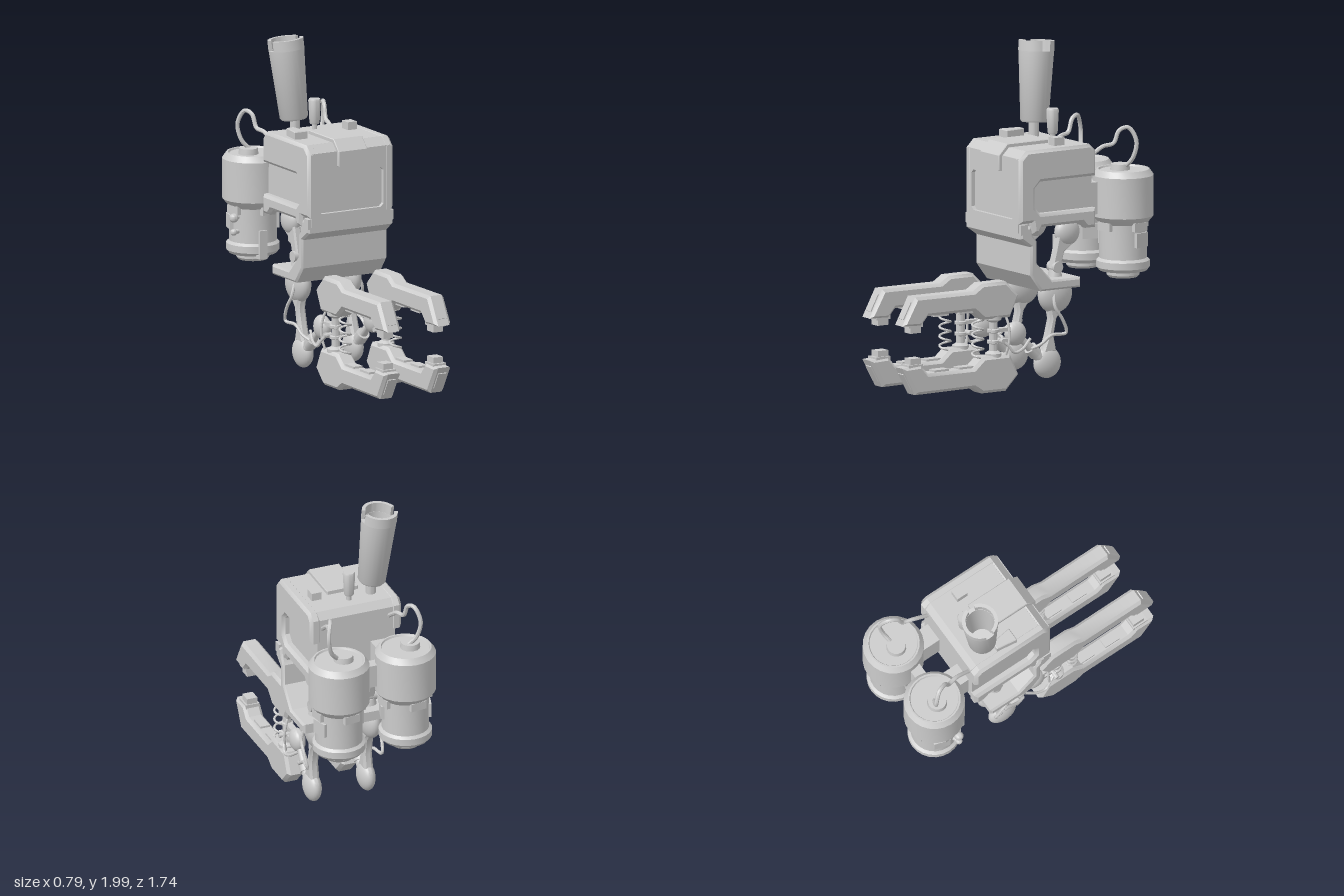
import * as THREE from 'three';
import { toCreasedNormals } from 'three/addons/utils/BufferGeometryUtils.js';

const material = new THREE.MeshStandardMaterial({ color: 0xcccccc });
const V = (x, y, z) => new THREE.Vector3(x, y, z);

function add(parent, name, geometry, x = 0, y = 0, z = 0) {
  const mesh = new THREE.Mesh(toCreasedNormals(geometry, 0.6), material);
  mesh.name = name;
  mesh.position.set(x, y, z);
  parent.add(mesh);
  return mesh;
}
const box = (w, h, d) => new THREE.BoxGeometry(w, h, d);
const cyl = (rTop, rBottom, h, n = 20) => new THREE.CylinderGeometry(rTop, rBottom, h, n);
const lathe = (pts, n = 24) => new THREE.LatheGeometry(pts.map(p => new THREE.Vector2(...p)), n);
const poly = pts => new THREE.Shape(pts.map(p => new THREE.Vector2(...p)));

// Side profile given as [z, y], extruded across x with chamfered edges
function slab(profile, width, bevel = 0.01) {
  const g = new THREE.ExtrudeGeometry(poly(profile), {
    depth: width - 2 * bevel, bevelEnabled: bevel > 0, bevelSize: bevel,
    bevelThickness: bevel, bevelOffset: -bevel, bevelSegments: 1,
  });
  return g.translate(0, 0, -(width - 2 * bevel) / 2).rotateY(-Math.PI / 2);
}
// Flattened ball used for the joints
const lens = (r, half, cut = 0) =>
  new THREE.SphereGeometry(r, 28, 18, 0, Math.PI * 2, cut, Math.PI - cut).scale(half / r, 1, 1);
function rod(parent, name, a, b, r1, r2 = r1) {
  const g = cyl(r2, r1, a.distanceTo(b), 14);
  const mesh = add(parent, name, g);
  mesh.position.copy(a).lerp(b, 0.5);
  mesh.quaternion.setFromUnitVectors(V(0, 1, 0), b.clone().sub(a).normalize());
}
function hose(parent, name, pts, r) {
  const curve = new THREE.CatmullRomCurve3(pts.map(p => V(...p)));
  add(parent, name, new THREE.TubeGeometry(curve, pts.length * 7, r, 8));
}
function group(parent, name, x = 0, y = 0, z = 0) {
  const g = new THREE.Group();
  g.name = name;
  g.position.set(x, y, z);
  parent.add(g);
  return g;
}

function buildBody(root) {
  const body = group(root, 'body');
  add(body, 'bodyCore', slab([[0.065, 0.96], [0.065, 1.38], [0.03, 1.428], [-0.41, 1.428],
    [-0.445, 1.385], [-0.445, 0.945], [-0.38, 0.945], [-0.35, 0.98], [-0.06, 0.98]], 0.49, 0));
  // Side walls with a recess open to the rear
  for (const s of [-1, 1]) {
    add(body, 'sideWall', slab([[0.09, 1.0], [0.09, 1.38], [0.04, 1.43], [-0.41, 1.43], [-0.45, 1.39],
      [-0.45, 1.24], [-0.06, 1.24], [-0.02, 1.2], [-0.02, 1.09], [-0.06, 1.05], [-0.45, 1.05],
      [-0.45, 0.935], [-0.38, 0.935], [-0.35, 0.97], [-0.07, 0.97], [-0.05, 0.935], [-0.01, 0.935], [0.0, 1.0]],
      0.07, 0.018), s * 0.255);
    add(body, 'hingeTab', box(0.06, 0.06, 0.05), s * 0.26, 0.965, 0.06);
  }
  // Front frame around a sunken window
  const frame = poly([[-0.265, 0.945], [0.265, 0.945], [0.265, 1.385], [-0.265, 1.385]]);
  frame.holes.push(new THREE.Path([[-0.2, 1.02], [0.2, 1.02], [0.22, 1.04], [0.22, 1.24],
    [0.2, 1.26], [-0.2, 1.26], [-0.22, 1.24], [-0.22, 1.04]].map(p => new THREE.Vector2(...p))));
  add(body, 'frontFrame', new THREE.ExtrudeGeometry(frame, { depth: 0.05, bevelEnabled: false }), 0, 0, 0.039);
  add(body, 'browSlope', slab([[0.089, 1.38], [0.04, 1.429], [0, 1.42], [0, 1.38]], 0.5, 0));
  add(body, 'topFlap', slab([[0.112, 1.295], [0.112, 1.385], [0.05, 1.45], [-0.24, 1.45],
    [-0.24, 1.42], [0.03, 1.42], [0.085, 1.37], [0.085, 1.295]], 0.195, 0.004));
  // Lower jaw
  add(body, 'jaw', slab([[0.085, 0.98], [0.085, 0.91], [0.015, 0.86], [0.015, 0.69], [-0.06, 0.59],
    [-0.34, 0.59], [-0.34, 0.65], [-0.14, 0.65], [-0.03, 0.76], [-0.03, 0.89], [0.0, 0.93], [0.01, 0.98]], 0.58, 0.012));
  // Arms between body and jaw
  for (const s of [-1, 1]) {
    const arm = group(body, 'jawArm', s * 0.17);
    add(arm, 'upperJoint', lens(0.083, 0.05), 0, 0.905, -0.32);
    add(arm, 'armLink', slab([[-0.36, 0.84], [-0.29, 0.79], [-0.265, 0.7], [-0.2, 0.7],
      [-0.225, 0.8], [-0.25, 0.9]], 0.05, 0.01));
    add(arm, 'lowerJoint', cyl(0.033, 0.033, 0.08).rotateZ(Math.PI / 2), 0, 0.705, -0.235);
    add(arm, 'armFoot', cyl(0.035, 0.045, 0.05), 0, 0.665, -0.235);
  }
}

function buildRoof(root) {
  const roof = group(root, 'roofFittings');
  // Leaning hollow chimney with two notches in its rim
  const chimney = group(roof, 'chimney', -0.153, 1.51, -0.31);
  chimney.rotation.set(-0.085, 0, 0.075);
  add(chimney, 'chimneyTube', lathe([[0, 0], [0.075, 0], [0.083, 0.012], [0.105, 0.42],
    [0.084, 0.42], [0.066, 0.02], [0, 0.02]]));
  for (const s of [0, 1]) {
    const a0 = 0.26 + s * Math.PI, a1 = Math.PI - 0.26 + s * Math.PI;
    const rim = new THREE.Shape();
    rim.absarc(0, 0, 0.106, a0, a1, false);
    rim.absarc(0, 0, 0.085, a1, a0, true);
    add(chimney, 'chimneyRim', new THREE.ExtrudeGeometry(rim, { depth: 0.062, bevelEnabled: false, curveSegments: 12 })
      .rotateX(-Math.PI / 2), 0, 0.418, 0);
  }
  add(roof, 'chimneyStem', cyl(0.03, 0.03, 0.12), -0.15, 1.465, -0.305);
  const lever = new THREE.ExtrudeGeometry(poly([[-0.043, 0.13], [0.043, 0.13], [0.025, 0.26], [-0.025, 0.26]]),
    { depth: 0.045, bevelEnabled: true, bevelSize: 0.005, bevelThickness: 0.005, bevelOffset: -0.005, bevelSegments: 1 });
  add(roof, 'wedge', lever.rotateX(-Math.PI / 2), -0.21, 1.425, 0);
  add(roof, 'antennaStem', cyl(0.016, 0.016, 0.06), 0, 1.45, -0.335);
  add(roof, 'antenna', lathe([[0, 1.46], [0.026, 1.46], [0.03, 1.47], [0.037, 1.6], [0.033, 1.61], [0, 1.61]]), 0, 0, -0.335);
  add(roof, 'button', box(0.06, 0.06, 0.07), 0.18, 1.445, -0.24);
}

function buildTank(root, s) {
  const tank = group(root, s > 0 ? 'leftTank' : 'rightTank', s * 0.21, 0, -0.69);
  add(tank, 'tankBody', lathe([[0, 0.61], [0.085, 0.61], [0.098, 0.625], [0.098, 0.65], [0.14, 0.65],
    [0.157, 0.67], [0.157, 0.71], [0.14, 0.725], [0.14, 0.93], [0.155, 0.945], [0.18, 0.975],
    [0.18, 1.215], [0.155, 1.25], [0.145, 1.25], [0.14, 1.24], [0, 1.24]]));
  add(tank, 'tankCap', cyl(0.055, 0.06, 0.04, 16), -0.03, 1.255, 0);
  // Clips around the neck
  for (let i = 0; i < 4; i++) {
    const clip = group(tank, 'neckClip', 0, 0.92);
    clip.rotation.y = i * Math.PI / 2 + 0.15;
    add(clip, 'clipPlate', box(0.1, 0.05, 0.04), 0, 0, 0.135);
  }
  for (const a of [s * 1.85, s * 1.85 + Math.PI]) {
    const patch = group(tank, 'neckPatch', 0, 0.84);
    patch.rotation.y = a;
    add(patch, 'patchPlate', box(0.1, 0.085, 0.03), 0, 0, 0.134);
  }
  if (s < 0) { // knobs and hook on the right tank
    for (const [y, r] of [[0.88, 0.027], [0.795, 0.02]]) {
      rod(tank, 'knobStem', V(-0.11, y, 0.04), V(-0.16, y, 0.06), 0.014);
      add(tank, 'knob', new THREE.SphereGeometry(r, 14, 10), -0.165, y, 0.062);
    }
    add(tank, 'hookUpright', box(0.05, 0.17, 0.015), -0.03, 0.725, 0.168);
    add(tank, 'hookFoot', box(0.05, 0.02, 0.07), -0.03, 0.65, 0.14);
  }
  hose(root, 'tankHose', [[s * 0.22, 1.26, -0.7], [s * 0.27, 1.32, -0.72], [s * 0.29, 1.42, -0.73], [s * 0.265, 1.5, -0.69],
    [s * 0.245, 1.485, -0.64], [s * 0.235, 1.41, -0.605], [s * 0.22, 1.395, -0.54], [s * 0.21, 1.33, -0.44]], 0.013);
  add(root, 'tankBracket', box(0.12, 0.19, 0.14), s * 0.15, 1.09, -0.5);
}

function buildClaw(leg, dir) {
  const claw = group(leg, dir > 0 ? 'upperClaw' : 'lowerClaw');
  const Y = y => dir > 0 ? y : 0.67 - y;
  const outline = [[0.87, 0.46], [0.78, 0.625], [0.37, 0.622], [0.31, 0.66], [0.14, 0.66], [0.05, 0.57],
    [0.11, 0.445], [0.3, 0.445], [0.37, 0.505], [0.69, 0.505], [0.74, 0.45]].map(([z, y]) => [z, Y(y)]);
  add(claw, 'clawShell', slab(outline, 0.11, 0.018));
  add(claw, 'tipPad', box(0.065, 0.05, 0.075), 0, Y(0.435), 0.77);
  add(claw, 'tipPadBase', box(0.085, 0.03, 0.1), 0, Y(0.46), 0.775);
  for (const z of [0.41, 0.585]) add(claw, 'gripPlate', box(0.06, 0.02, 0.1), 0, Y(0.503), z);
  const plate = add(claw, 'tipPlate', box(0.055, 0.11, 0.012), 0, Y(0.545), 0.824);
  plate.rotation.x = -dir * 0.5;
}

function buildLeg(root, s) {
  const leg = group(root, s > 0 ? 'leftLeg' : 'rightLeg', s * 0.17);
  add(leg, 'hipJoint', lens(0.115, 0.06, 1.1), 0, 0.545, -0.235);
  add(leg, 'shin', slab([[-0.295, 0.48], [-0.235, 0.4], [-0.215, 0.3], [-0.235, 0.2], [-0.13, 0.2],
    [-0.165, 0.3], [-0.19, 0.4], [-0.175, 0.48]], 0.06, 0.015));
  add(leg, 'kneeJoint', lens(0.092, 0.05), 0, 0.142, -0.18);
  rod(leg, 'foreLink', V(0, 0.17, -0.13), V(0, 0.32, 0.02), 0.034, 0.018);
  rod(leg, 'foreLinkCollar', V(0, 0.2, -0.1), V(0, 0.24, -0.06), 0.04);
  add(leg, 'ankleJoint', lens(0.072, 0.045), 0, 0.335, 0.045);
  // Post, bars and spring between the claws
  add(leg, 'clawPost', lathe([[0.05, 0.2], [0.05, 0.235], [0.026, 0.25], [0.026, 0.29], [0.036, 0.295], [0.036, 0.31],
    [0.026, 0.315], [0.026, 0.355], [0.036, 0.36], [0.036, 0.375], [0.026, 0.38], [0.026, 0.42], [0.05, 0.435], [0.05, 0.47]], 16), 0, 0, 0.2);
  for (const y of [0.302, 0.368]) add(leg, 'ankleBar', box(0.04, 0.022, 0.15), 0, y, 0.155);
  add(leg, 'crossPin', cyl(0.014, 0.014, 0.13, 10).rotateZ(Math.PI / 2), 0, 0.31, 0.17);
  const coil = [];
  for (let i = 0; i <= 32; i++) {
    const a = i / 8 * Math.PI * 2;
    coil.push([Math.cos(a) * 0.033, 0.22 + i * 0.0072, 0.31 + Math.sin(a) * 0.033]);
  }
  hose(leg, 'spring', coil, 0.007);
  // Cables along the outside
  hose(leg, 'legCable', [[s * 0.04, 0.57, -0.2], [s * 0.07, 0.48, -0.19], [s * 0.075, 0.4, -0.24], [s * 0.065, 0.32, -0.27],
    [s * 0.05, 0.31, -0.18], [s * 0.045, 0.26, -0.1], [s * 0.03, 0.24, -0.05]], 0.01);
  hose(leg, 'clawCable', [[s * 0.03, 0.3, -0.04], [s * 0.055, 0.25, 0.03], [s * 0.06, 0.235, 0.09],
    [s * 0.05, 0.28, 0.13], [s * 0.03, 0.32, 0.18]], 0.009);
  hose(leg, 'upperCable', [[s * 0.02, 0.46, 0.13], [s * 0.04, 0.4, 0.12], [s * 0.05, 0.31, 0.12], [s * 0.03, 0.2, 0.14]], 0.008);
  buildClaw(leg, 1);
  buildClaw(leg, -1);
}

export function createModel() {
  const root = new THREE.Group();
  root.name = 'robot';
  buildBody(root);
  buildRoof(root);
  for (const s of [-1, 1]) {
    buildTank(root, s);
    buildLeg(root, s);
  }
  add(root, 'tankCrossbar', box(0.14, 0.14, 0.07), 0, 1.09, -0.655);
  return root;
}
